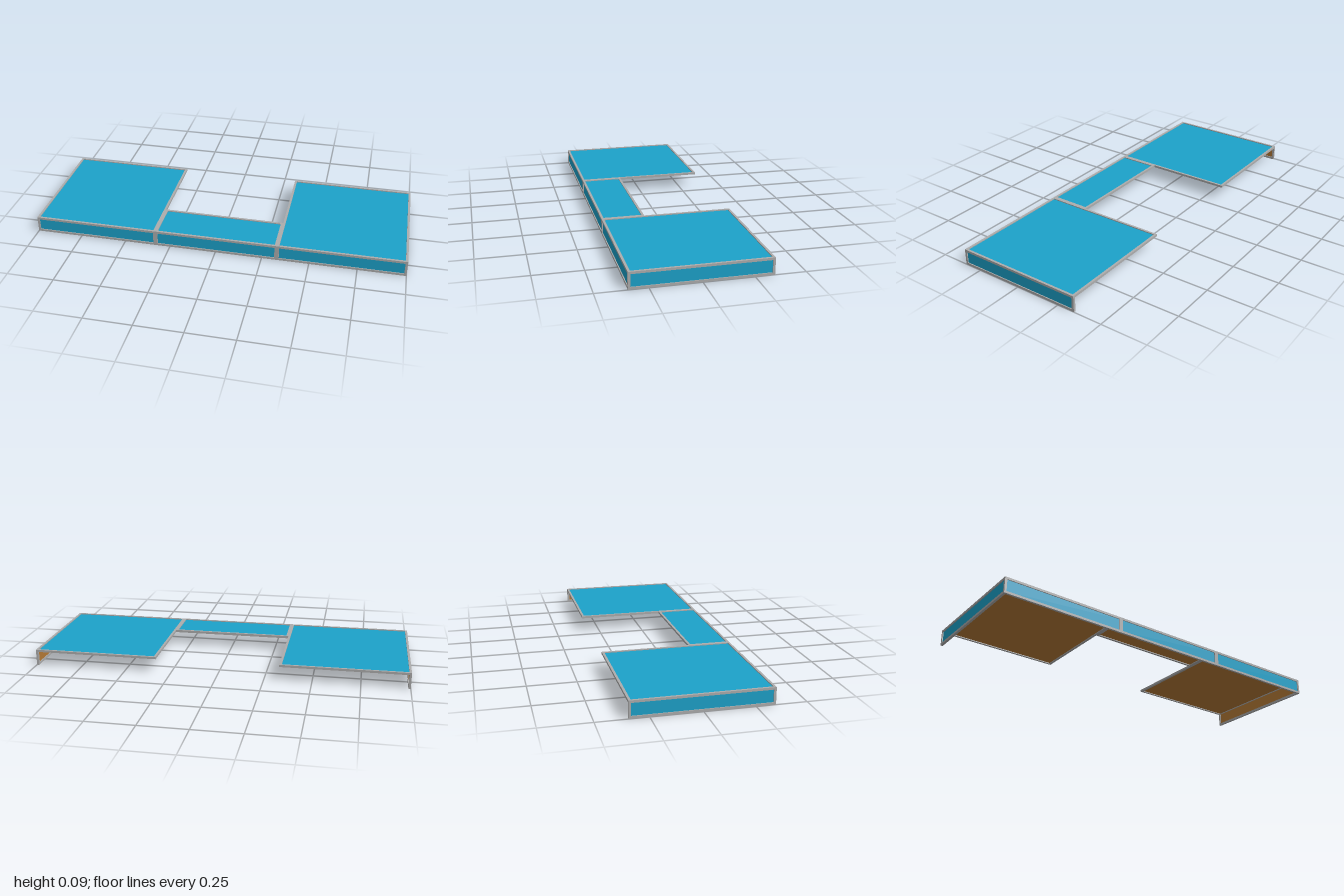
import * as THREE from 'three';

const H = 0.087;       // height of the skirt
const D = 0.346;       // half depth
const SEAM = 0.329;    // x where the wings meet the middle bay
const MID_BACK = 0.12; // z of the middle bay's back edge
const B = 0.012;       // width and thickness of the frame bars

export function createModel() {
  const blue = new THREE.MeshStandardMaterial({ color: 0x1ca2ca });
  blue.name = 'outer blue';
  const brown = new THREE.MeshStandardMaterial({ color: 0xb57a36 });
  brown.name = 'inner brown';
  const grey = new THREE.MeshStandardMaterial({ color: 0xadadad });
  grey.name = 'frame grey';

  const model = new THREE.Group();
  model.name = 'canopy';

  const rect = (P, w, h) => new P([
    new THREE.Vector2(-w / 2, -h / 2), new THREE.Vector2(w / 2, -h / 2),
    new THREE.Vector2(w / 2, h / 2), new THREE.Vector2(-w / 2, h / 2),
  ]);

  // Grey frame of square bars holding a sheet, blue outside and brown inside;
  // the outer face lies on the given position and faces +z before rotation
  function panel(name, w, h, position, rx = 0, ry = 0) {
    const group = new THREE.Group();
    group.name = name;
    const shape = rect(THREE.Shape, w, h);
    shape.holes.push(rect(THREE.Path, w - 2 * B, h - 2 * B));
    const frame = new THREE.Mesh(
      new THREE.ExtrudeGeometry(shape, { depth: B, bevelEnabled: false }), grey);
    frame.name = name + 'Frame';
    frame.position.z = -B;
    const sheet = new THREE.PlaneGeometry(w - 2 * B, h - 2 * B);
    const outer = new THREE.Mesh(sheet, blue);
    outer.name = name + 'Outside';
    outer.position.z = -B * 0.4;
    const inner = new THREE.Mesh(sheet, brown);
    inner.name = name + 'Inside';
    inner.position.z = -B * 0.6;
    inner.rotation.y = Math.PI;
    group.add(frame, outer, inner);
    group.position.set(...position);
    group.rotation.set(rx, ry, 0);
    model.add(group);
  }

  // Middle bay
  panel('middleTop', 2 * SEAM, D - MID_BACK, [0, H, (D + MID_BACK) / 2], -Math.PI / 2);
  panel('middleFront', 2 * SEAM, H, [0, H / 2, D]);

  // Wings: top, front skirt and outer side skirt
  for (const [side, s] of [['left', 1], ['right', -1]]) {
    const x = s * (1 + SEAM) / 2;
    panel(side + 'WingTop', 1 - SEAM, 2 * D, [x, H, 0], -Math.PI / 2);
    panel(side + 'WingFront', 1 - SEAM, H, [x, H / 2, D]);
    panel(side + 'WingSide', 2 * D, H, [s, H / 2, 0], 0, s * Math.PI / 2);
  }
  return model;
}
